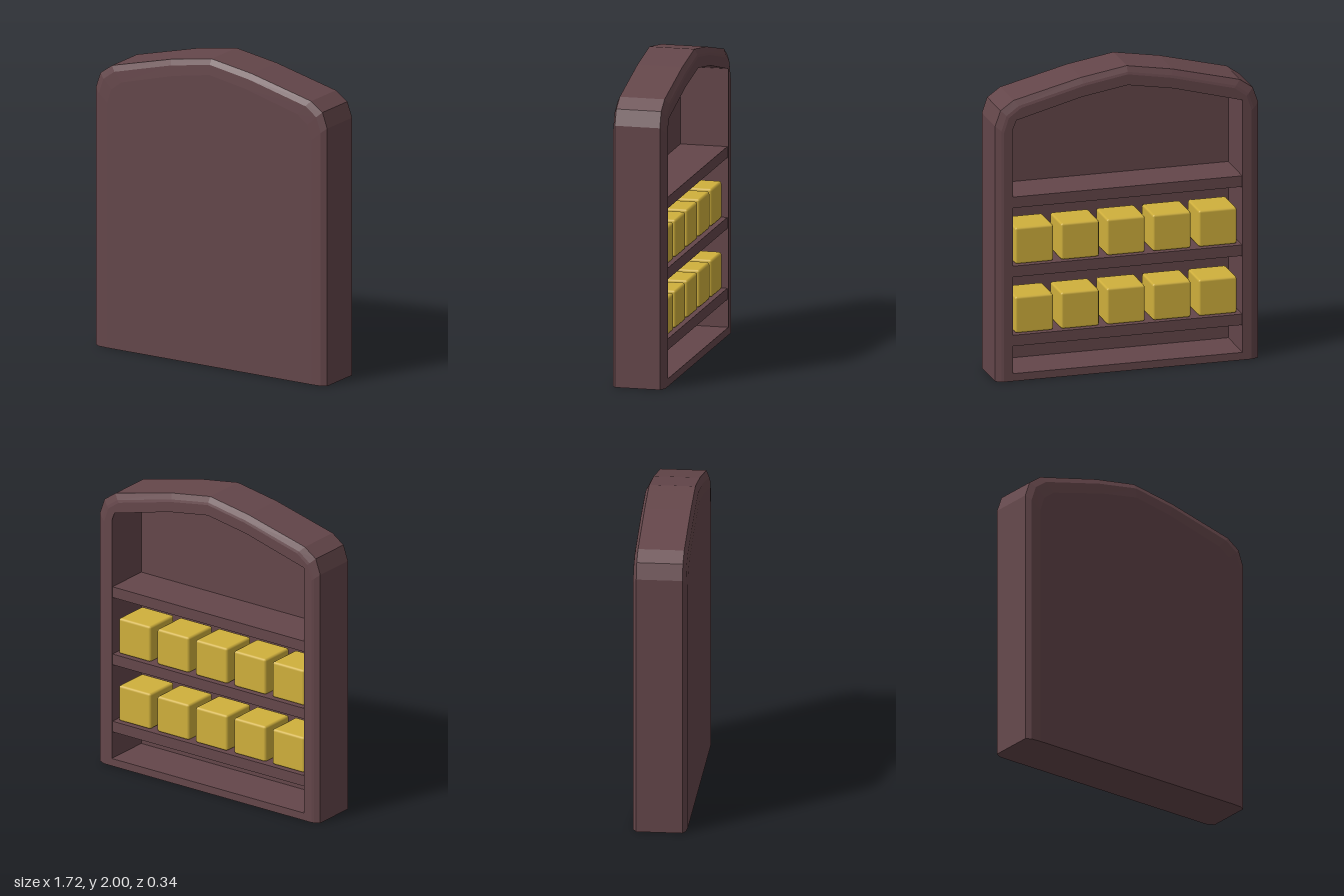
import * as THREE from 'three';
import { RoundedBoxGeometry } from 'three/addons/geometries/RoundedBoxGeometry.js';

// Mirrors a right-hand half profile (ending on x = 0) into a full outline
const mirror = (half) => [...half, ...half.slice(0, -1).reverse().map(([x, y]) => [-x, y])];

const OUTER = mirror([[0.86, 0], [0.86, 1.68], [0.825, 1.78], [0.74, 1.84], [0.3, 1.95], [0, 2]]);
const OPENING = mirror([[0.75, 0.05], [0.75, 1.6], [0.75, 1.66], [0.75, 1.71], [0.3, 1.83], [0, 1.88]]);

// Outer outline drawn in by a small amount at depth z, keeping the base on the ground
const outerLoop = (inset, z) =>
  OUTER.map(([x, y]) => [x * (1 - inset / 0.86), y * (1 - inset / 2), z]);
const openingLoop = (z) => OPENING.map(([x, y]) => [x, y, z]);

// Joins the loops in order and caps both ends, with flat faces
function loft(loops) {
  const pos = [];
  const tri = (a, b, c) => pos.push(...a, ...b, ...c);
  const n = loops[0].length;
  for (let i = 0; i < loops.length - 1; i++) {
    for (let j = 0; j < n; j++) {
      const k = (j + 1) % n;
      const a = loops[i][j], b = loops[i][k], c = loops[i + 1][k], d = loops[i + 1][j];
      tri(a, d, b);
      tri(b, d, c);
    }
  }
  const first = loops[0], last = loops[loops.length - 1];
  for (let j = 1; j < n - 1; j++) {
    tri(first[0], first[j], first[j + 1]);
    tri(last[0], last[j + 1], last[j]);
  }
  const geo = new THREE.BufferGeometry();
  geo.setAttribute('position', new THREE.Float32BufferAttribute(pos, 3));
  geo.computeVertexNormals();
  return geo;
}

export function createModel() {
  const model = new THREE.Group();
  model.name = 'archedCabinet';
  const wood = new THREE.MeshStandardMaterial({ color: 0x64464a });
  wood.name = 'dark wood';
  const gold = new THREE.MeshStandardMaterial({ color: 0xd0b03c });
  gold.name = 'gold';

  const add = (name, geo, mat, x = 0, y = 0, z = 0) => {
    const mesh = new THREE.Mesh(geo, mat);
    mesh.name = name;
    mesh.position.set(x, y, z);
    model.add(mesh);
  };

  // Cabinet shell: closed front, chamfered rim, hollow from the back
  add('cabinetShell', loft([
    outerLoop(0.1, 0.17), outerLoop(0.035, 0.165), outerLoop(0, 0.145),
    outerLoop(0, -0.145), outerLoop(0.035, -0.165), outerLoop(0.05, -0.17),
    openingLoop(-0.17), openingLoop(0.14),
  ]), wood);

  // Three shelves
  const shelfTops = [0.3, 0.755, 1.21];
  const shelfGeo = new THREE.BoxGeometry(1.5, 0.072, 0.303);
  shelfTops.forEach((top) => add('shelf', shelfGeo, wood, 0, top - 0.036, -0.0115));

  // Five blocks on each of the two lower shelves
  const blockGeo = new RoundedBoxGeometry(0.25, 0.24, 0.25, 1, 0.015);
  for (const top of shelfTops.slice(0, 2)) {
    for (let i = -2; i <= 2; i++) add('block', blockGeo, gold, i * 0.3, top + 0.12, -0.01);
  }
  return model;
}
